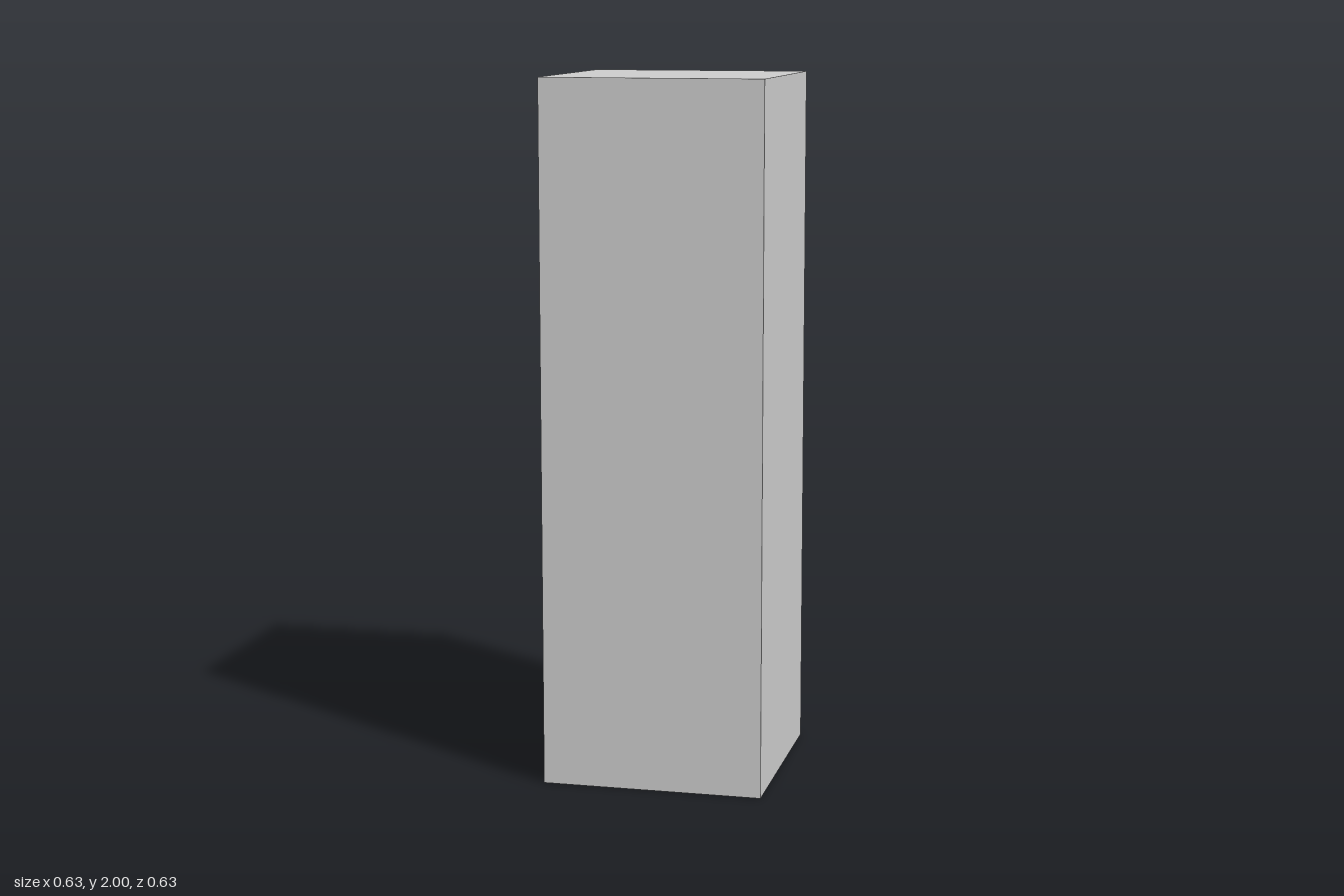
import * as THREE from 'three';

const W = 0.63, H = 2;                    // square pillar
const NW = 0.5, NH = 0.8, ND = 0.1;       // niche width, height, depth
const NICHE_Y = 1.4;                      // height of the niche centre

// Box without one side (0..5 = +x, -x, +y, -y, +z, -z), optionally seen from inside
function openBox(w, h, d, missingSide, inward = false) {
  const geometry = new THREE.BoxGeometry(w, h, d);
  const index = Array.from(geometry.index.array);
  index.splice(missingSide * 6, 6);
  geometry.setIndex(inward ? index.reverse() : index);
  geometry.clearGroups();
  geometry.computeVertexNormals();
  return geometry;
}

function rectangle(path, w, h, centreY) {
  const x = w / 2, y = h / 2;
  path.moveTo(-x, centreY - y);
  path.lineTo(x, centreY - y);
  path.lineTo(x, centreY + y);
  path.lineTo(-x, centreY + y);
  path.closePath();
  return path;
}

export function createModel() {
  const group = new THREE.Group();
  group.name = 'pillarWithNiche';
  const material = new THREE.MeshStandardMaterial({ color: 0xcccccc });

  const add = (name, geometry) => {
    const mesh = new THREE.Mesh(geometry, material);
    mesh.name = name;
    group.add(mesh);
    return mesh;
  };

  // Pillar, open on the niche side
  add('pillar', openBox(W, H, W, 1)).position.y = H / 2;

  // Niche side: flat face with a rectangular opening
  const face = rectangle(new THREE.Shape(), W, H, H / 2);
  face.holes.push(rectangle(new THREE.Path(), NW, NH, NICHE_Y));
  const faceGeometry = new THREE.ShapeGeometry(face);
  faceGeometry.rotateY(-Math.PI / 2);
  add('nicheFace', faceGeometry).position.x = -W / 2;

  // Shallow recess behind the opening
  add('niche', openBox(ND, NH, NW, 1, true)).position.set(-W / 2 + ND / 2, NICHE_Y, 0);

  return group;
}
